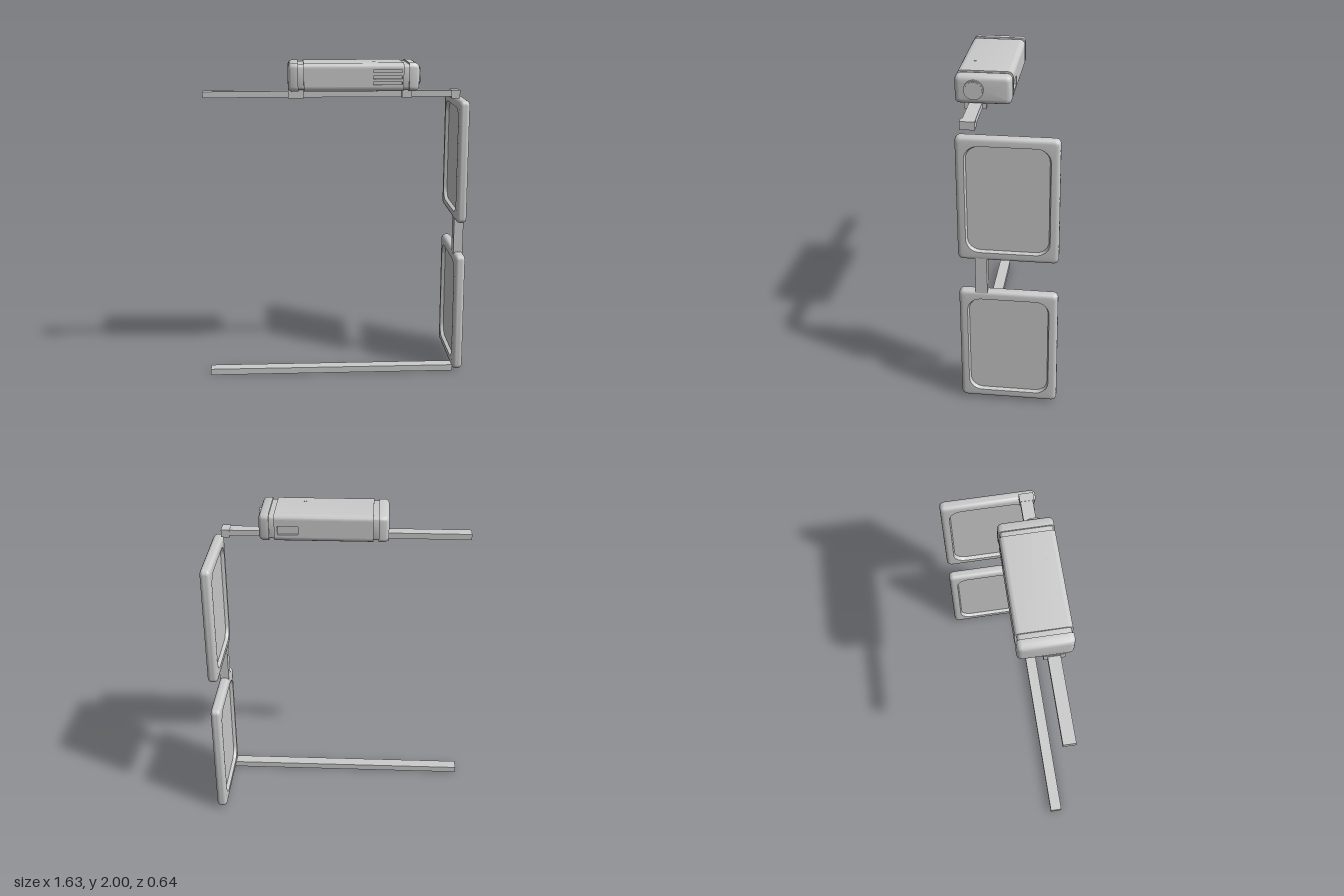
import * as THREE from 'three';
import { toCreasedNormals } from 'three/addons/utils/BufferGeometryUtils.js';

const material = new THREE.MeshStandardMaterial({ color: 0xcccccc });
const N = 6; // segments per rounded corner

function add(parent, name, geometry, x = 0, y = 0, z = 0) {
  const mesh = new THREE.Mesh(geometry, material);
  mesh.name = name;
  mesh.position.set(x, y, z);
  parent.add(mesh);
  return mesh;
}

// Box given by its limits on each axis
function addBox(parent, name, [x0, x1], [y0, y1], [z0, z1]) {
  return add(parent, name, new THREE.BoxGeometry(x1 - x0, y1 - y0, z1 - z0),
    (x0 + x1) / 2, (y0 + y1) / 2, (z0 + z1) / 2);
}

// Skin over rounded rectangles facing x; each ring is [x, half depth, half height, corner radius]
function loftRings(rings, closed = false, skip = () => false) {
  const loops = rings.map(([x, w, h, r]) => {
    const points = [];
    for (let c = 0; c < 4; c++) {
      const su = c === 0 || c === 3 ? 1 : -1, sv = c < 2 ? 1 : -1;
      for (let i = 0; i <= N; i++) {
        const a = (c + i / N) * Math.PI / 2;
        points.push([x, sv * (h - r) + r * Math.sin(a), su * (w - r) + r * Math.cos(a)]);
      }
    }
    return points;
  });
  const position = [];
  const count = 4 * (N + 1);
  const spans = closed ? loops.length : loops.length - 1;
  for (let k = 0; k < spans; k++) {
    const p = loops[k], q = loops[(k + 1) % loops.length];
    for (let i = 0; i < count; i++) {
      if (skip(k, i)) continue;
      const j = (i + 1) % count;
      position.push(...p[i], ...q[i], ...p[j], ...p[j], ...q[i], ...q[j]);
    }
  }
  const geometry = new THREE.BufferGeometry();
  geometry.setAttribute('position', new THREE.Float32BufferAttribute(position, 3));
  return toCreasedNormals(geometry, 0.6);
}

function rectPath(Type, x0, x1, y0, y1) {
  return new Type([[x0, y0], [x1, y0], [x1, y1], [x0, y1]].map(([x, y]) => new THREE.Vector2(x, y)));
}

// Rounded rim with a recessed lens
function createLens(name, height) {
  const group = new THREE.Group();
  group.name = name;
  const w = 0.2925, h = height / 2, t = 0.0325, b = 0.024;
  const rings = [];
  for (let i = 0; i <= 4; i++) {
    const a = i / 4 * Math.PI / 2, inset = b * (1 - Math.sin(a));
    rings.push([-t + b * (1 - Math.cos(a)), w - inset, h - inset, 0.03 - inset * 0.5]);
  }
  for (const [x, ww, hh, r] of rings.slice().reverse()) rings.push([-x, ww, hh, r]);
  const ow = 0.2425, oh = h - 0.053;
  rings.push([t, ow, oh, 0.08], [0.012, ow - 0.008, oh - 0.008, 0.075],
    [-0.012, ow - 0.008, oh - 0.008, 0.075], [-t, ow, oh, 0.08]);
  add(group, 'rim', loftRings(rings, true));
  const lw = ow - 0.008, lh = oh - 0.008;
  add(group, 'lens', loftRings([[-0.01, 0, 0, 0], [-0.01, lw, lh, 0.075],
    [0.01, lw, lh, 0.075], [0.01, 0, 0, 0]]));
  return group;
}

function createDevice() {
  const group = new THREE.Group();
  group.name = 'device';
  const w = 0.164, h = 0.085, r = 0.03, y = 1.915, z = 0.154;
  const x0 = -0.30, x1 = 0.49, g = 0.01, round = 0.03;
  const ring = (x, inset) => [x, w - inset, h - inset, Math.max(r - inset * 0.7, 0.006)];

  // Case with rounded ends and two grooves
  const start = [], end = [];
  for (let i = 0; i <= 5; i++) {
    const a = i / 5 * Math.PI / 2, inset = round * (1 - Math.sin(a)), dx = round * (1 - Math.cos(a));
    start.push(ring(x0 + dx, inset));
    end.unshift(ring(x1 - dx, inset));
  }
  const rings = [[x0, 0, 0, 0], ...start,
    ring(-0.238, 0), ring(-0.238, g), ring(-0.205, g), ring(-0.205, 0),
    ring(0.395, 0), ring(0.395, g), ring(0.427, g), ring(0.427, 0), ...end, [x1, 0, 0, 0]];
  const core = start.length + 4;
  const frontFace = 4 * (N + 1) - 1, backFace = 2 * (N + 1) - 1;
  add(group, 'case', loftRings(rings, false,
    (k, i) => k === core && (i === frontFace || i === backFace)), 0, y, z);

  // Side panels whose openings form the vents and the port
  const panel = (name, openings, zMin, plateZ) => {
    const shape = rectPath(THREE.Shape, -0.205, 0.395, y - h + r, y + h - r);
    for (const o of openings) shape.holes.push(rectPath(THREE.Path, ...o));
    add(group, name, new THREE.ExtrudeGeometry(shape, { depth: 0.015, bevelEnabled: false }), 0, 0, zMin);
    addBox(group, name + 'Backing', [-0.19, 0.39], [1.861, 1.969], [plateZ, plateZ + 0.004]);
  };
  const slots = [1.88, 1.915, 1.952].map(v => [0.21, 0.385, v - 0.008, v + 0.008]);
  panel('ventPanel', slots, z + w - 0.015, z + w - 0.019);
  panel('portPanel', [[0.25, 0.375, 1.875, 1.928]], z - w, z - w + 0.015);

  // Round end button with a raised centre, and a small indicator on top
  add(group, 'buttonRing', new THREE.CylinderGeometry(0.058, 0.058, 0.012, 40), x1 + 0.004, 1.918, 0.206)
    .rotation.z = Math.PI / 2;
  add(group, 'button', new THREE.CylinderGeometry(0.05, 0.05, 0.012, 40), x1 + 0.007, 1.918, 0.206)
    .rotation.z = Math.PI / 2;
  add(group, 'indicator', new THREE.CylinderGeometry(0.011, 0.011, 0.004, 20), 0.22, 2.0, 0.236);

  // Clips around the temple
  for (const span of [[-0.30, -0.205], [0.39, 0.45]]) {
    addBox(group, 'clip', span, [1.788, 1.845], [0.14, 0.268]);
  }
  return group;
}

export function createModel() {
  const model = new THREE.Group();
  model.name = 'glassesWithDevice';

  const upper = createLens('upperLens', 0.77);
  upper.position.set(0.778, 1.38, -0.025);
  const lower = createLens('lowerLens', 0.765);
  lower.position.set(0.778, 0.4025, -0.025);
  model.add(upper, lower);
  addBox(model, 'bridge', [0.748, 0.808], [0.77, 1.01], [0.097, 0.167]);

  // Temples and hinge
  addBox(model, 'upperTemple', [-0.815, 0.745], [1.79, 1.827], [0.163, 0.238]);
  addBox(model, 'hinge', [0.695, 0.748], [1.78, 1.829], [0.16, 0.247]);
  addBox(model, 'lowerTemple', [-0.815, 0.75], [0.004, 0.043], [0.167, 0.242]);

  model.add(createDevice());
  return model;
}
